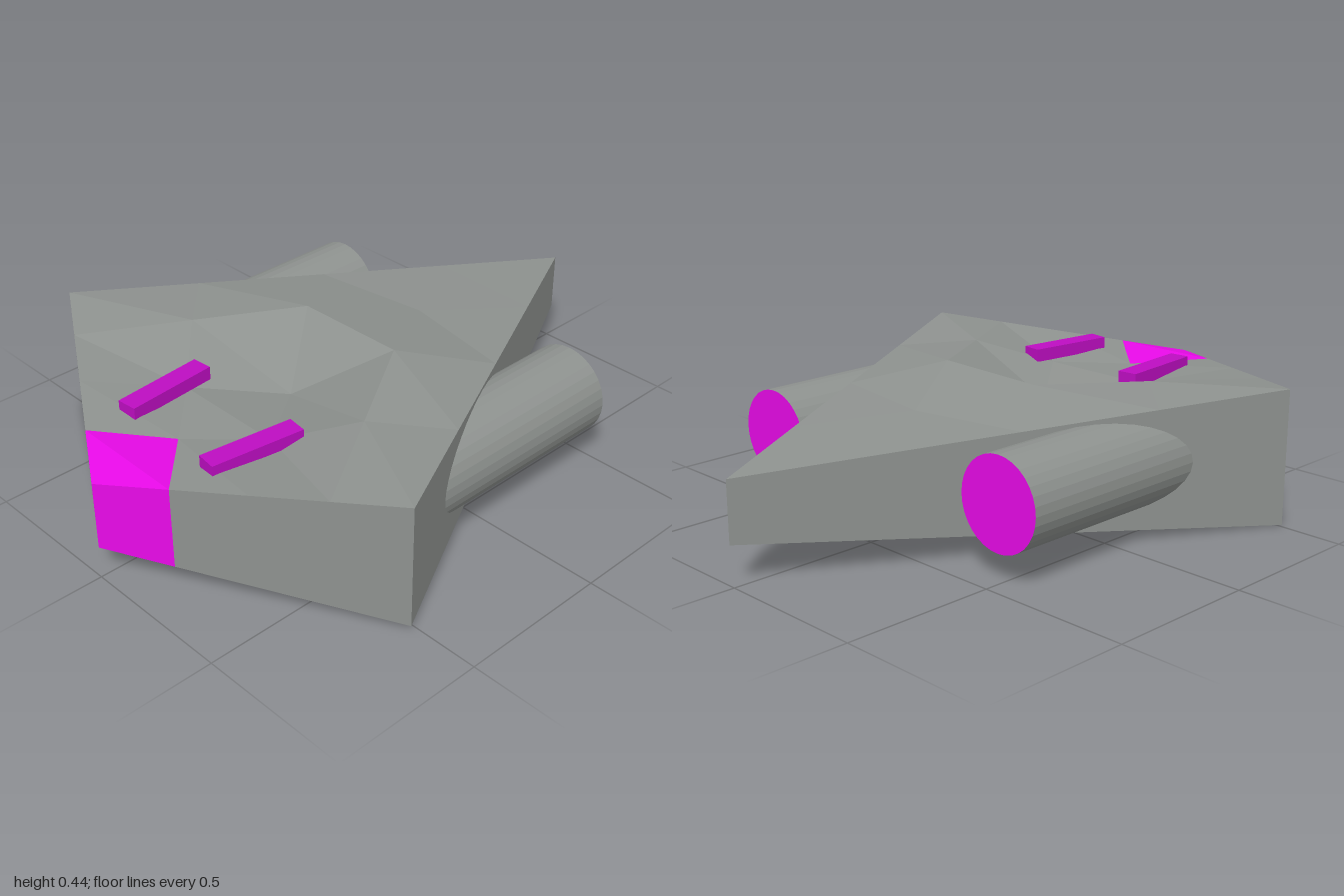
import * as THREE from 'three';

const N = 4; // hull panels per side
const paint = (color) => new THREE.MeshStandardMaterial({ color, flatShading: true });
const grey = paint(0x8e928f);
const magenta = paint(0xe80ae8);
const darkMagenta = paint(0xbe0ec2);

// Kite corners: x, z, top height, bottom height
const nose = [0.004, 1, 0.335, 0.11];
const left = [0.784, 0.52, 0.425, 0.018];
const tail = [0.012, -1, 0.32, 0.125];
const right = [-0.784, 0.513, 0.44, 0];

// Sculpted heights of the sunken deck and the ridge behind it, by grid position
const deckHeights = {
  '1,1': 0.34, '2,1': 0.345, '1,2': 0.345, '2,2': 0.3,
  '3,2': 0.44, '2,3': 0.434, '3,1': 0.42, '1,3': 0.425, '3,3': 0.375,
};

// Point of the hull grid: i runs nose to left, j runs nose to right
function point(i, j, top) {
  const u = i / N, v = j / N;
  const mix = (k) => (1 - u) * (1 - v) * nose[k] + u * (1 - v) * left[k]
    + (1 - u) * v * right[k] + u * v * tail[k];
  const y = top ? deckHeights[`${i},${j}`] ?? mix(2) : mix(3);
  return [mix(0), y, mix(1)];
}

function meshFrom(name, positions, material) {
  const geometry = new THREE.BufferGeometry();
  geometry.setAttribute('position', new THREE.Float32BufferAttribute(positions, 3));
  geometry.computeVertexNormals();
  const mesh = new THREE.Mesh(geometry, material);
  mesh.name = name;
  return mesh;
}

function createHull() {
  const hull = [], tip = [];
  const quad = (out, a, b, c, d) => out.push(...a, ...b, ...d, ...b, ...c, ...d);

  // Deck and belly
  for (let i = 0; i < N; i++) {
    for (let j = 0; j < N; j++) {
      const out = i + j === 0 ? tip : hull;
      for (const top of [true, false]) {
        const a = point(i, j, top), b = point(i + 1, j, top);
        const c = point(i + 1, j + 1, top), d = point(i, j + 1, top);
        if (top) quad(out, a, b, c, d);
        else quad(out, a, d, c, b);
      }
    }
  }

  // Side walls, around the rim
  const rim = [];
  for (let k = 0; k < N; k++) rim.push([k, 0]);
  for (let k = 0; k < N; k++) rim.push([N, k]);
  for (let k = 0; k < N; k++) rim.push([N - k, N]);
  for (let k = 0; k < N; k++) rim.push([0, N - k]);
  rim.forEach(([i, j], k) => {
    const [m, n] = rim[(k + 1) % rim.length];
    const out = k === 0 || k === rim.length - 1 ? tip : hull;
    quad(out, point(i, j, false), point(m, n, false), point(m, n, true), point(i, j, true));
  });
  return [meshFrom('hull', hull, grey), meshFrom('noseTip', tip, magenta)];
}

// Cylinder sunk into the hull, with a coloured exhaust face at the rear
function createEngine(name, x, y, rear) {
  const front = 0.27, radius = 0.147;
  const geometry = new THREE.CylinderGeometry(radius, radius, front - rear, 32);
  geometry.rotateX(Math.PI / 2); // bottom cap now faces the rear
  const engine = new THREE.Mesh(geometry, [grey, grey, magenta]);
  engine.name = name;
  engine.position.set(x, y, (front + rear) / 2);
  return engine;
}

// Slim bar lying on the deck
function createBar(name, x, z, turn) {
  const bar = new THREE.Mesh(new THREE.BoxGeometry(0.068, 0.044, 0.308), darkMagenta);
  bar.name = name;
  bar.position.set(x, 0.374, z);
  bar.rotation.y = turn;
  return bar;
}

export function createModel() {
  const model = new THREE.Group();
  model.name = 'spacecraft';
  model.add(
    ...createHull(),
    createEngine('leftEngine', 0.496, 0.227, -0.477),
    createEngine('rightEngine', -0.492, 0.236, -0.447),
    createBar('leftDeckBar', 0.227, 0.602, -0.13),
    createBar('rightDeckBar', -0.189, 0.588, 0.09),
  );
  return model;
}
